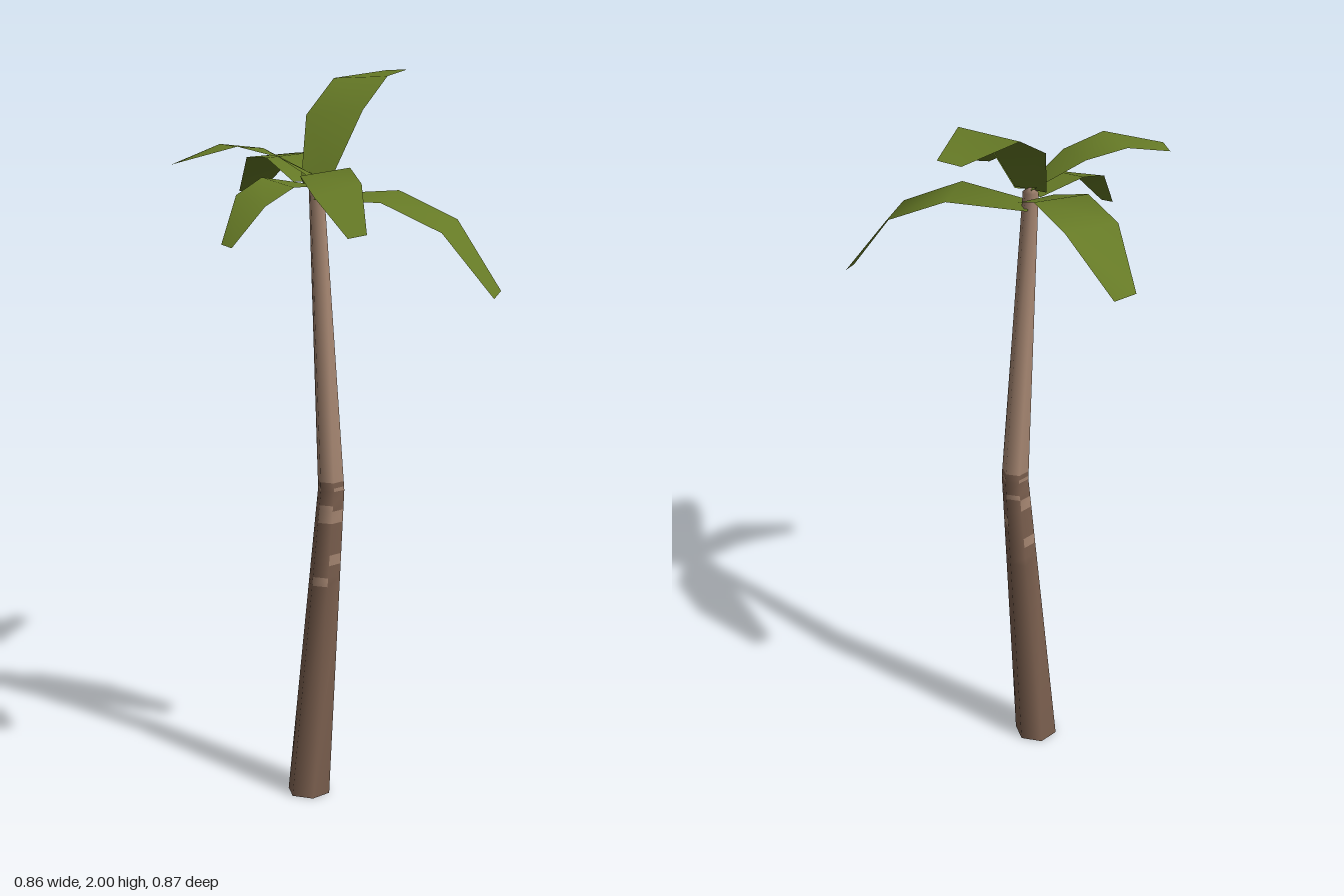
import * as THREE from 'three';

const mat = (name, color, side = THREE.FrontSide) => {
  const m = new THREE.MeshStandardMaterial({ color, side });
  m.name = name;
  return m;
};

const SIDES = 6, START = THREE.MathUtils.degToRad(16);

// Trunk centre line and radius: [y, x, z, radius]
const SPINE = [
  [0, -0.085, 0.017, 0.061],
  [0.89, -0.021, 0.002, 0.038],
  [1.74, -0.06, 0.013, 0.021],
  [1.755, -0.06, 0.013, 0],
];

function spineAt(y) {
  let i = 0;
  while (i < SPINE.length - 2 && y > SPINE[i + 1][0]) i++;
  const [a, b] = [SPINE[i], SPINE[i + 1]];
  const t = (y - a[0]) / (b[0] - a[0]);
  return a.map((v, k) => v + (b[k] - v) * t);
}

// Bark bands: [bottom y, colour per side (d = dark, l = light)]
const BANDS = [
  [0, 'dddddd'],
  [0.62, 'dldddd'],
  [0.645, 'dddddd'],
  [0.68, 'lddldd'],
  [0.71, 'dddddd'],
  [0.74, 'dddddl'],
  [0.77, 'dddddd'],
  [0.8, 'lldldd'],
  [0.835, 'dlddld'],
  [0.85, 'dddddd'],
  [0.89, 'ldlldl'],
  [0.9, 'dddddd'],
  [0.915, 'llllll'],
  [1.74, 'llllll'],
];

function trunkGeometry() {
  const ys = [...BANDS.map((b) => b[0]), 1.755];
  const pos = [], index = [];
  const geo = new THREE.BufferGeometry();
  for (const y of ys) {
    const [, x, z, r] = spineAt(y);
    for (let j = 0; j < SIDES; j++) {
      const a = START + (j / SIDES) * Math.PI * 2;
      pos.push(x + r * Math.cos(a), y, z + r * Math.sin(a));
    }
  }
  BANDS.forEach(([, colours], k) => {
    for (let j = 0; j < SIDES; j++) {
      const a = k * SIDES + j, b = k * SIDES + ((j + 1) % SIDES);
      geo.addGroup(index.length, 6, colours[j] === 'd' ? 0 : 1);
      index.push(a, a + SIDES, b, b, a + SIDES, b + SIDES);
    }
  });
  geo.setAttribute('position', new THREE.Float32BufferAttribute(pos, 3));
  geo.setIndex(index);
  geo.computeVertexNormals();
  return geo;
}

// Fronds: cross-sections from root to tip, each [left point, right point]
const FRONDS = {
  rightwardFrond: [
    [[-0.05, 1.7, -0.022], [-0.065, 1.695, 0.06]],
    [[0.16, 1.715, 0.01], [0.115, 1.703, 0.175]],
    [[0.315, 1.645, 0.055], [0.272, 1.632, 0.215]],
    [[0.43, 1.468, 0.13], [0.41, 1.457, 0.19]],
  ],
  uprightBackFrond: [
    [[-0.1, 1.745, -0.005], [-0.02, 1.745, 0.038]],
    [[-0.092, 1.9, -0.12], [0.062, 1.92, -0.045]],
    [[-0.023, 1.987, -0.257], [0.125, 1.998, -0.185]],
    [[0.12, 1.996, -0.43], [0.177, 2, -0.4]],
  ],
  backFrond: [
    [[-0.12, 1.735, 0.005], [-0.025, 1.735, -0.045]],
    [[-0.2, 1.785, -0.11], [-0.06, 1.795, -0.18]],
    [[-0.265, 1.77, -0.255], [-0.13, 1.775, -0.325]],
    [[-0.3, 1.655, -0.415], [-0.245, 1.645, -0.437]],
  ],
  leftwardFrond: [
    [[-0.06, 1.745, 0.063], [-0.06, 1.75, -0.005]],
    [[-0.15, 1.813, 0.122], [-0.2, 1.825, 0.012]],
    [[-0.255, 1.845, 0.162], [-0.31, 1.84, 0.055]],
    [[-0.415, 1.803, 0.183], [-0.43, 1.795, 0.14]],
  ],
  smallFrond: [
    [[-0.045, 1.73, 0.05], [-0.085, 1.73, 0]],
    [[-0.11, 1.74, 0.16], [-0.2, 1.755, 0.07]],
    [[-0.18, 1.7, 0.232], [-0.26, 1.72, 0.16]],
    [[-0.263, 1.6, 0.278], [-0.292, 1.605, 0.25]],
  ],
  frontFrond: [
    [[-0.02, 1.74, 0.038], [-0.093, 1.735, 0.035]],
    [[0.035, 1.792, 0.16], [-0.092, 1.775, 0.2]],
    [[0.068, 1.767, 0.29], [-0.05, 1.737, 0.325]],
    [[0.085, 1.658, 0.424], [0.038, 1.65, 0.435]],
  ],
};

function frondGeometry(sections) {
  const index = [];
  for (let i = 0; i < sections.length - 1; i++) {
    const a = i * 2;
    index.push(a, a + 1, a + 2, a + 1, a + 3, a + 2);
  }
  const geo = new THREE.BufferGeometry();
  geo.setAttribute('position', new THREE.Float32BufferAttribute(sections.flat(2), 3));
  geo.setIndex(index);
  geo.computeVertexNormals();
  return geo;
}

export function createModel() {
  const darkBark = mat('darkBark', 0x7d6150);
  const lightBark = mat('lightBark', 0xa98974);
  const leafGreen = mat('leafGreen', 0x667a26, THREE.DoubleSide);
  const model = new THREE.Group();
  model.name = 'palmTree';

  const add = (name, geometry, material) => {
    const mesh = new THREE.Mesh(geometry, material);
    mesh.name = name;
    model.add(mesh);
    return mesh;
  };

  add('trunk', trunkGeometry(), [darkBark, lightBark]);

  // Underside of the trunk
  const [, x, z, r] = SPINE[0];
  const base = add('trunkBase', new THREE.CircleGeometry(r, SIDES, START), darkBark);
  base.rotation.x = Math.PI / 2;
  base.position.set(x, 0, z);

  // Crown of drooping fronds
  for (const [name, sections] of Object.entries(FRONDS)) {
    add(name, frondGeometry(sections), leafGreen);
  }
  return model;
}
